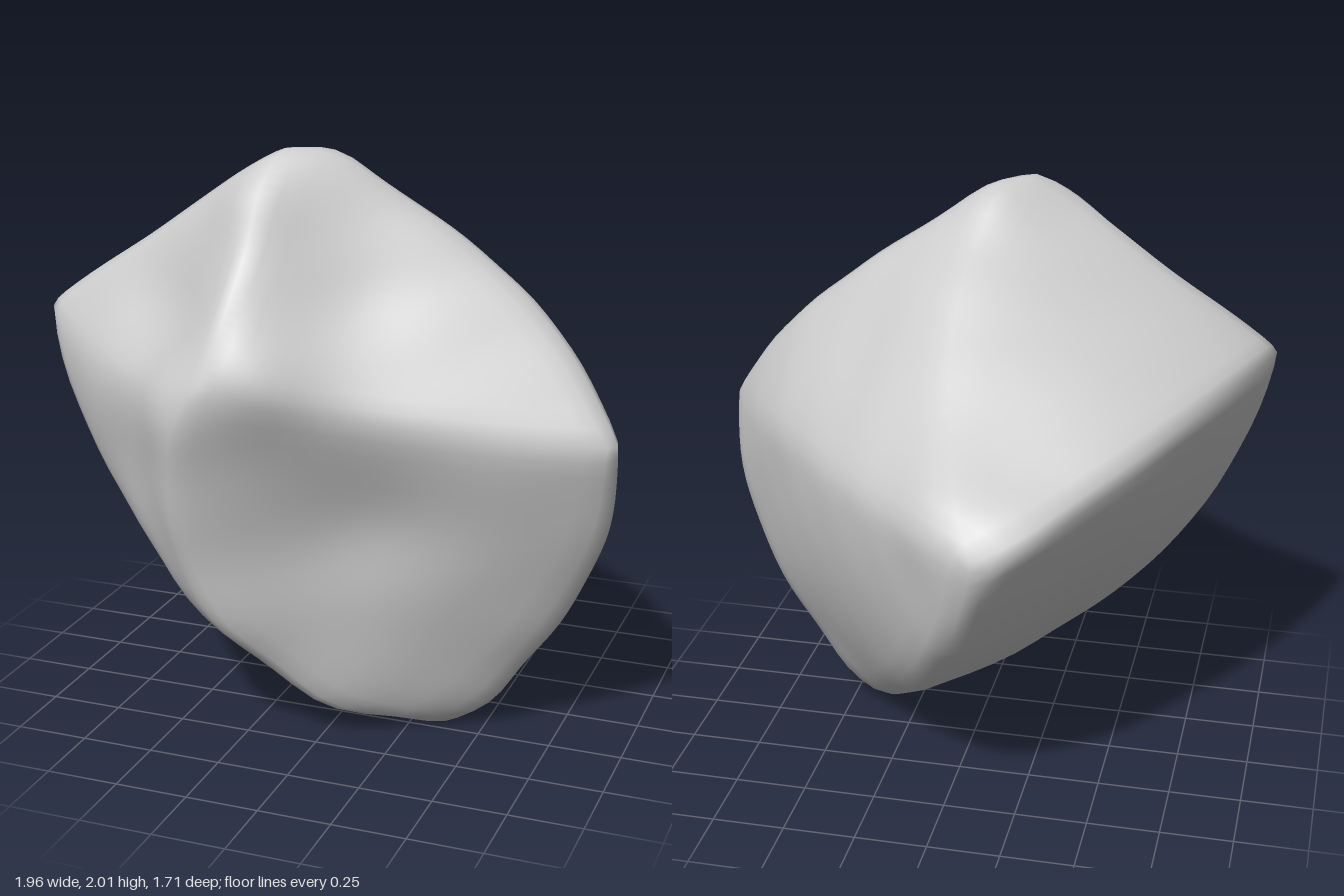
import * as THREE from 'three';
import { mergeVertices } from 'three/addons/utils/BufferGeometryUtils.js';

const V = (x, y, z) => new THREE.Vector3(x, y, z);

// Six main corners of the boulder
const corner = {
  left: V(1.0, 1.13, 0.385),
  right: V(-1.005, 1.44, 0.41),
  top: V(-0.15, 2.01, 0.4),
  bottom: V(0.39, -0.018, 0.2),
  front: V(-0.25, 1.32, 0.84),
  back: V(-0.18, 1.1, -0.845),
};

// A point halfway along each ridge, which gives the ridge its bow
const ridge = {
  'left top': V(0.5, 1.69, 0.23),
  'left bottom': V(0.86, 0.52, 0.24),
  'left front': V(0.35, 1.2, 0.64),
  'left back': V(0.51, 1.2, -0.31),
  'right top': V(-0.6, 1.73, 0.39),
  'right bottom': V(-0.57, 0.55, 0.39),
  'right front': V(-0.65, 1.27, 0.62),
  'right back': V(-0.69, 1.37, -0.37),
  'top front': V(-0.18, 1.68, 0.69),
  'top back': V(0.04, 1.68, -0.16),
  'bottom front': V(-0.3, 0.56, 0.69),
  'bottom back': V(0.02, 0.56, -0.6),
};

// Sculpting strokes: [where, how far to push, radius]
const strokes = [
  // blunted corners
  [V(-0.24, 1.92, 0.54), V(-0.02, 0.03, 0.04), 0.15],
  [V(-0.05, 1.95, 0.28), V(0.03, 0.05, -0.02), 0.15],
  [V(-0.1, 1.38, 0.76), V(0.02, 0, 0.05), 0.16],
  [V(-0.38, 1.25, 0.76), V(-0.01, 0, 0.06), 0.16],
  [V(-0.05, 1.2, -0.72), V(0.02, 0.04, -0.05), 0.18],
  [V(-0.3, 1.15, -0.74), V(-0.03, 0.02, -0.04), 0.16],
  [V(0, 0.12, 0.4), V(-0.02, -0.06, 0.06), 0.22],
  [V(0.52, 0.12, 0.2), V(0.04, -0.04, 0), 0.15],
  [V(-0.33, 0.42, 0.58), V(0, -0.02, 0.05), 0.25],
  // hollows in the faces
  [V(0.1, 0.82, 0.6), V(-0.01, 0, -0.09), 0.3],
  [V(-0.58, 0.98, 0.58), V(0.03, 0, -0.04), 0.2],
  [V(-0.5, 1.52, 0.6), V(0.01, -0.02, -0.05), 0.2],
  [V(0.12, 1.58, 0.55), V(0, -0.02, -0.06), 0.25],
  [V(0.35, 1.5, -0.08), V(-0.02, -0.03, 0.02), 0.25],
];

// Curved triangular patch through three corners and three ridge points
function patchPoint(names, u, v, w) {
  const [a, b, c] = names;
  const p = V(0, 0, 0);
  [[a, u], [b, v], [c, w]].forEach(([n, t]) => p.addScaledVector(corner[n], t * (2 * t - 1)));
  [[a, b, u * v], [b, c, v * w], [a, c, u * w]].forEach(([m, n, t]) =>
    p.addScaledVector(ridge[`${m} ${n}`], 4 * t));
  return p;
}

const readPoints = (pos) =>
  Array.from({ length: pos.count }, (_, i) => V(0, 0, 0).fromBufferAttribute(pos, i));

// Push the surface along each stroke and add the gentle unevenness of stone
function sculpt(geometry) {
  const pos = geometry.attributes.position;
  const centre = V(0, 1.05, 0.1);
  readPoints(pos).forEach((p, i) => {
    const q = p.clone();
    strokes.forEach(([at, push, radius]) =>
      q.addScaledVector(push, Math.exp(-p.distanceToSquared(at) / radius ** 2)));
    const bump = 0.006 * Math.sin(7 * p.x + 3 * p.y) * Math.sin(6 * p.y + 4 * p.z)
      + 0.004 * Math.sin(15 * p.z + 9 * p.x) * Math.sin(13 * p.y - 8 * p.x);
    q.addScaledVector(p.clone().sub(centre).normalize(), bump);
    pos.setXYZ(i, q.x, q.y, q.z);
  });
}

// Pull vertices towards their neighbours to round the ridges and corners
function soften(geometry, passes, amount) {
  const pos = geometry.attributes.position;
  const index = geometry.index.array;
  const near = Array.from({ length: pos.count }, () => new Set());
  for (let i = 0; i < index.length; i += 3) {
    for (let k = 0; k < 3; k++) {
      near[index[i + k]].add(index[i + (k + 1) % 3]).add(index[i + (k + 2) % 3]);
    }
  }
  for (let pass = 0; pass < passes; pass++) {
    const old = readPoints(pos);
    old.forEach((p, i) => {
      const mean = V(0, 0, 0);
      near[i].forEach((j) => mean.addScaledVector(old[j], 1 / near[i].size));
      const q = p.clone().lerp(mean, amount);
      pos.setXYZ(i, q.x, q.y, q.z);
    });
  }
}

function boulderGeometry(n) {
  const points = [];
  for (const x of [1, -1]) for (const y of [1, -1]) for (const z of [1, -1]) {
    const names = [x > 0 ? 'left' : 'right', y > 0 ? 'top' : 'bottom', z > 0 ? 'front' : 'back'];
    const at = (i, j) => patchPoint(names, (n - i - j) / n, i / n, j / n);
    const tri = (a, b, c) => points.push(...(x * y * z > 0 ? [a, b, c] : [a, c, b]));
    for (let i = 0; i < n; i++) for (let j = 0; j < n - i; j++) {
      tri(at(i, j), at(i + 1, j), at(i, j + 1));
      if (i + j < n - 1) tri(at(i + 1, j), at(i + 1, j + 1), at(i, j + 1));
    }
  }
  const geometry = mergeVertices(new THREE.BufferGeometry().setFromPoints(points), 1e-4);
  sculpt(geometry);
  soften(geometry, 2, 0.5);
  geometry.computeVertexNormals();
  return geometry;
}

export function createModel() {
  const group = new THREE.Group();
  group.name = 'rock';
  const boulder = new THREE.Mesh(
    boulderGeometry(24),
    new THREE.MeshStandardMaterial({ color: 0xcccccc }),
  );
  boulder.name = 'boulder';
  group.add(boulder);
  return group;
}
